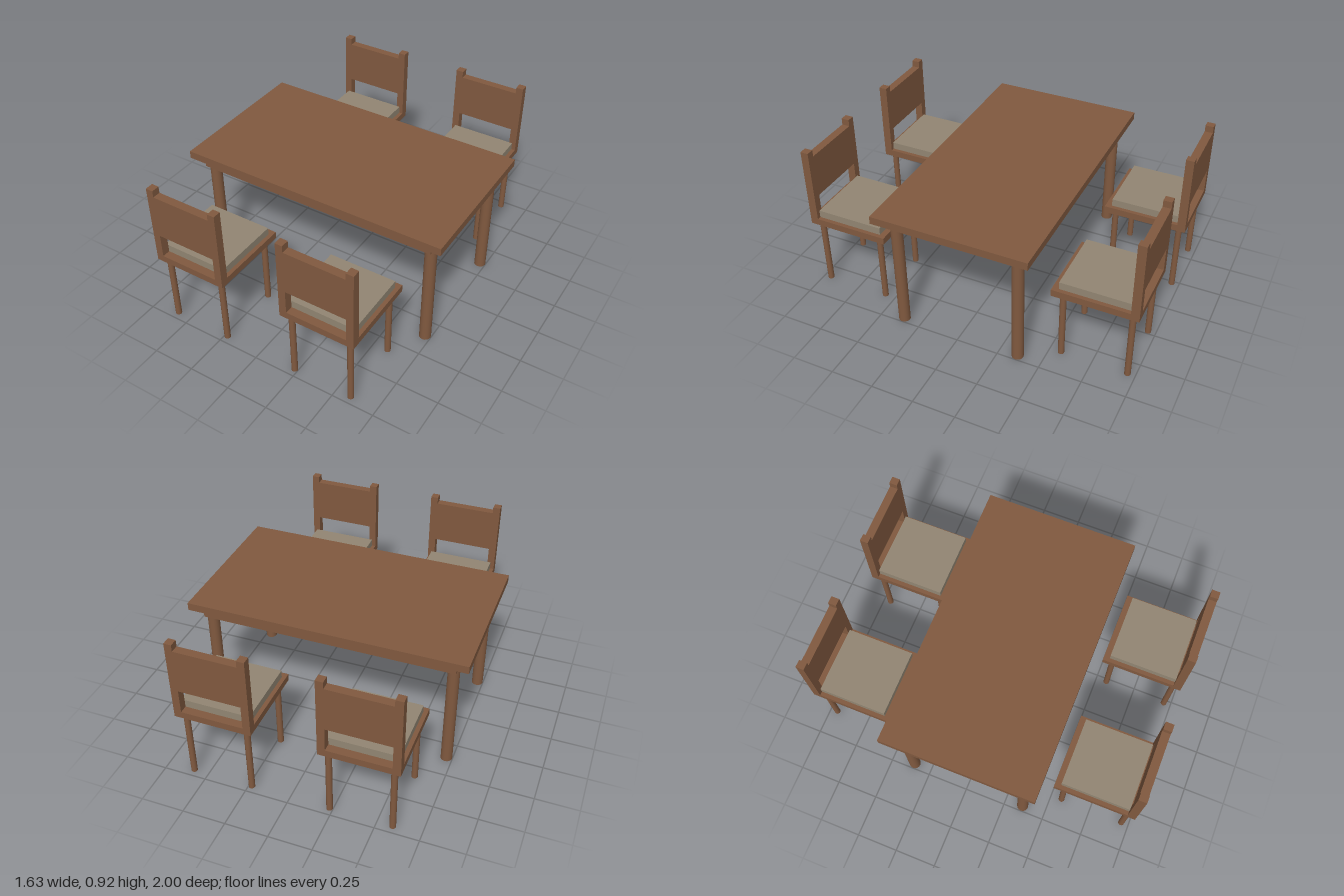
import * as THREE from 'three';

const wood = new THREE.MeshStandardMaterial({ color: 0x80593f });
wood.name = 'wood';
const fabric = new THREE.MeshStandardMaterial({ color: 0x918572 });
fabric.name = 'cushion fabric';

// Box given by its lower and upper corners
function box(name, [x0, y0, z0], [x1, y1, z1], material = wood) {
  const mesh = new THREE.Mesh(new THREE.BoxGeometry(x1 - x0, y1 - y0, z1 - z0), material);
  mesh.position.set((x0 + x1) / 2, (y0 + y1) / 2, (z0 + z1) / 2);
  mesh.name = name;
  return mesh;
}

// Round leg standing on the floor
function leg(name, x, z, radius, height) {
  const mesh = new THREE.Mesh(new THREE.CylinderGeometry(radius, radius, height, 16), wood);
  mesh.position.set(x, height / 2, z);
  mesh.name = name;
  return mesh;
}

function createTable() {
  const table = new THREE.Group();
  table.name = 'table';
  table.add(box('tableTop', [-0.815, 0.72, -0.458], [0.815, 0.766, 0.458]));
  table.add(box('apron', [-0.74, 0.666, -0.419], [0.74, 0.72, 0.419]));
  for (const x of [-0.715, 0.715]) {
    for (const z of [-0.36, 0.36]) table.add(leg('tableLeg', x, z, 0.034, 0.72));
  }
  return table;
}

// Chair centred on x = 0, with its back at z = 1 and facing the table
function createChair() {
  const chair = new THREE.Group();
  chair.name = 'chair';
  chair.add(box('seat', [-0.224, 0.431, 0.511], [0.224, 0.472, 1]));
  chair.add(box('cushion', [-0.2, 0.472, 0.547], [0.2, 0.517, 0.952], fabric));
  chair.add(box('backPanel', [-0.18, 0.616, 0.952], [0.18, 0.878, 1]));
  for (const side of [-1, 1]) {
    const x = side * 0.202;
    chair.add(box('backPost', [x - 0.022, 0.472, 0.952], [x + 0.022, 0.918, 1]));
    for (const z of [0.567, 0.955]) chair.add(leg('chairLeg', side * 0.179, z, 0.018, 0.431));
  }
  return chair;
}

export function createModel() {
  const model = new THREE.Group();
  model.name = 'diningSet';
  model.add(createTable());
  // Two chairs on each long side
  for (const x of [-0.41, 0.41]) {
    for (const turn of [0, Math.PI]) {
      const chair = createChair();
      chair.position.x = x;
      chair.rotation.y = turn;
      model.add(chair);
    }
  }
  return model;
}
